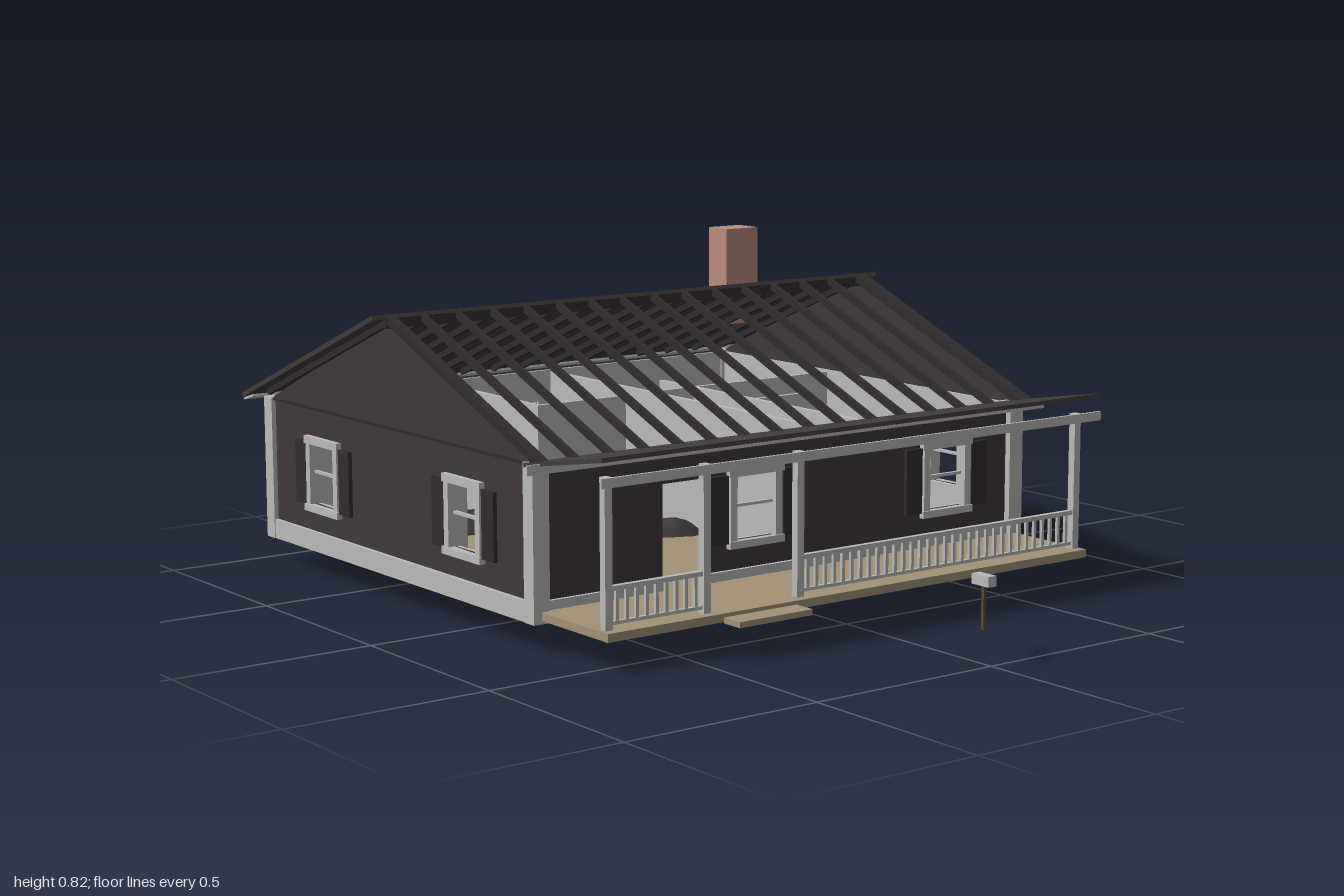
import * as THREE from 'three';

const mat = (name, color, extra = {}) => Object.assign(new THREE.MeshStandardMaterial({ color, ...extra }), { name });

export function createModel() {
  const M = {
    siding: mat('dark siding', 0x403939),
    roof: mat('roof', 0x433c3c),
    timber: mat('dark timber', 0x322d2d),
    trim: mat('pale trim', 0xbbbbb9),
    deck: mat('tan wood', 0xa39276),
    brick: mat('brick', 0xb98d7c),
    rock: mat('rubble', 0x383434, { flatShading: true }),
    post: mat('brown post', 0x5a4636),
  };
  const house = new THREE.Group();
  house.name = 'house';

  // Box given by its min and max corners
  const box = (name, m, x0, x1, y0, y1, z0, z1, parent = house) => {
    const b = new THREE.Mesh(new THREE.BoxGeometry(x1 - x0, y1 - y0, z1 - z0), m);
    b.position.set((x0 + x1) / 2, (y0 + y1) / 2, (z0 + z1) / 2);
    b.name = name;
    parent.add(b);
  };
  // Sloping board running between two (y, z) points
  const slope = (name, m, x0, x1, [ya, za], [yb, zb], t) => {
    const b = new THREE.Mesh(new THREE.BoxGeometry(x1 - x0, t, Math.hypot(yb - ya, zb - za)), m);
    b.position.set((x0 + x1) / 2, (ya + yb) / 2, (za + zb) / 2);
    b.rotation.x = -Math.atan2(yb - ya, zb - za);
    b.name = name;
    house.add(b);
  };

  // Wall sheet with rectangular openings
  const sheet = (name, m, pts, holes, z, depth, parent) => {
    const s = new THREE.Shape(pts.map(p => new THREE.Vector2(...p)));
    for (const [u0, u1, v0, v1] of holes) {
      s.holes.push(new THREE.Path([[u0, v0], [u0, v1], [u1, v1], [u1, v0]].map(p => new THREE.Vector2(...p))));
    }
    const mesh = new THREE.Mesh(new THREE.ExtrudeGeometry(s, { depth, bevelEnabled: false }), m);
    mesh.position.z = z;
    mesh.name = name;
    parent.add(mesh);
  };

  // Sash window: casing, sill, middle rail and a pair of shutters
  const windowTrim = (u, parent) => {
    const g = new THREE.Group();
    g.name = 'window';
    g.position.x = u;
    parent.add(g);
    for (const s of [-1, 1]) {
      box('casing', M.trim, s * 0.068 - 0.01, s * 0.068 + 0.01, 0.2, 0.36, -0.02, 0.012, g);
      box('shutter', M.timber, s * 0.109 - 0.026, s * 0.109 + 0.026, 0.195, 0.36, 0, 0.01, g);
    }
    box('head', M.trim, -0.083, 0.083, 0.355, 0.375, -0.02, 0.014, g);
    box('sill', M.trim, -0.083, 0.083, 0.182, 0.2, -0.02, 0.016, g);
    box('meetingRail', M.trim, -0.06, 0.06, 0.279, 0.286, -0.012, -0.002, g);
  };

  // Wall facing local +z, with plaster inside and trim outside
  const wall = (name, half, x, z, rot, windows, { doors = [], cased = false, gable = false } = {}) => {
    const g = new THREE.Group();
    g.name = name;
    g.position.set(x, 0, z);
    g.rotation.y = rot;
    house.add(g);
    const holes = windows.map(u => [u - 0.06, u + 0.06, 0.2, 0.355]).concat(doors.map(([a, b]) => [a, b, 0.1, 0.36]));
    const rect = [[-half, 0.08], [half, 0.08], [half, 0.445], [-half, 0.445]];
    const outer = gable ? [...rect.slice(0, 3), [0, 0.71], rect[3]] : rect;
    sheet('siding', M.siding, outer, holes, -0.01, 0.01, g);
    sheet('plaster', M.trim, rect, holes, -0.02, 0.009, g);
    windows.forEach(u => windowTrim(u, g));
    // Base board broken by doors
    const cuts = [-half, ...doors.flat(), half];
    for (let i = 0; i < cuts.length; i += 2) box('baseBoard', M.trim, cuts[i], cuts[i + 1], 0.08, 0.13, 0, 0.01, g);
    if (cased) for (const [a, b] of doors) {
      box('doorJamb', M.trim, a - 0.01, a, 0.1, 0.365, -0.02, 0.012, g);
      box('doorJamb', M.trim, b, b + 0.01, 0.1, 0.365, -0.02, 0.012, g);
      box('doorHead', M.trim, a - 0.01, b + 0.01, 0.36, 0.375, -0.02, 0.012, g);
    }
    return g;
  };
  const mid = -0.325;
  wall('frontWall', 0.735, 0, 0.285, 0, [-0.11, 0.5], { doors: [[-0.38, -0.25]] });
  wall('backWall', 0.735, 0, -0.935, Math.PI, [0.35], { doors: [[-0.075, 0.035]], cased: true });
  const right = wall('rightWall', 0.61, 0.74, mid, Math.PI / 2, [-0.37, 0.375], { gable: true });
  box('ventPanel', M.trim, -0.04, 0.035, 0.272, 0.345, 0, 0.008, right);
  wall('leftWall', 0.61, -0.74, mid, -Math.PI / 2, [-0.335, 0.325], { gable: true });
  for (const s of [-1, 1]) {
    box('gableBand', M.timber, s * 0.742 - 0.005, s * 0.742 + 0.005, 0.443, 0.449, -0.93, 0.28);
    for (const z of [-0.932, 0.282]) box('cornerBoard', M.trim, s * 0.73 - 0.022, s * 0.73 + 0.022, 0.08, 0.45, z - 0.02, z + 0.02);
  }

  // Pale slab with a wooden floor on its left half, and inner walls
  box('slab', M.trim, -0.735, 0.735, 0.078, 0.092, -0.93, 0.28);
  box('woodFloor', M.deck, -0.72, 0.12, 0.092, 0.096, -0.915, 0.265);
  for (const [x0, x1, z0, z1] of [
    [0.115, 0.13, -0.915, 0.265], [0.258, 0.273, -0.6, 0.265],
    [0.273, 0.45, -0.2, -0.187], [0.13, 0.72, -0.46, -0.447],
    [-0.24, 0.03, -0.45, -0.437], [-0.72, -0.48, -0.42, -0.407], [-0.245, -0.232, -0.915, -0.437],
  ]) box('innerWall', M.trim, x0, x1, 0.09, 0.44, z0, z1);

  // Rear roof with pale soffit, ridge and bare front rafters
  slope('backRoof', M.roof, -0.79, 0.79, [0.718, -0.325], [0.45, -0.998], 0.012);
  slope('backSoffit', M.trim, -0.788, 0.788, [0.455, -0.945], [0.441, -0.992], 0.006);
  box('ridgeBoard', M.timber, -0.755, 0.755, 0.69, 0.715, -0.335, -0.32);
  for (let i = 0; i < 16; i++) {
    const x = -0.748 + i * 0.0978;
    slope('frontRafter', M.timber, x - 0.006, x + 0.006, [0.712, -0.325], [0.45, 0.335], 0.018);
    slope('backRafter', M.timber, x - 0.006, x + 0.006, [0.7, -0.335], [0.463, -0.93], 0.016);
  }
  for (const s of [-1, 1]) slope('endRafter', M.timber, s * 0.74 - 0.012, s * 0.74 + 0.012, [0.712, -0.325], [0.45, 0.335], 0.018);
  box('frontFascia', M.trim, -0.79, 0.79, 0.432, 0.456, 0.334, 0.338);
  box('chimney', M.brick, 0.53, 0.638, 0.565, 0.83, -0.737, -0.655);

  // Porch: tilted roof, deck, step, posts and railings
  slope('porchRoof', M.roof, -0.755, 0.755, [0.444, 0.27], [0.498, 0.578], 0.01);
  box('porchBeam', M.trim, -0.755, 0.755, 0.435, 0.457, 0.568, 0.576);
  box('porchDeck', M.deck, -0.73, 0.73, 0.088, 0.108, 0.285, 0.56);
  box('porchStep', M.deck, -0.41, -0.2, 0.085, 0.099, 0.56, 0.618);
  for (const x of [-0.71, -0.44, -0.17, 0.715]) box('porchPost', M.trim, x - 0.01, x + 0.01, 0.105, 0.45, 0.517, 0.537);
  for (const [a, b] of [[-0.71, -0.44], [-0.17, 0.715]]) {
    box('handRail', M.trim, a, b, 0.195, 0.206, 0.52, 0.534);
    box('footRail', M.trim, a, b, 0.118, 0.126, 0.522, 0.532);
    const n = Math.round((b - a) / 0.027);
    for (let i = 1; i < n; i++) {
      const x = a + (b - a) * i / n;
      box('baluster', M.trim, x - 0.004, x + 0.004, 0.12, 0.197, 0.523, 0.531);
    }
  }

  // Letter box on its post
  box('letterBox', M.trim, -0.012, 0.012, 0.192, 0.216, 0.945, 1);
  box('letterBoxPost', M.post, -0.004, 0.004, 0.09, 0.192, 0.969, 0.977);

  // Rubble boulders pushed through the floor: x, z, radius, height radius
  const rubble = [
    [-0.4, 0.07, 0.11, 0.066], [-0.36, -0.04, 0.09, 0.06], [-0.42, -0.14, 0.065, 0.05], [-0.2, -0.07, 0.06, 0.05],
    [0.08, -0.29, 0.1, 0.055], [0.2, -0.23, 0.12, 0.068], [0.34, -0.2, 0.11, 0.062], [0.37, -0.31, 0.11, 0.058],
    [0.45, -0.01, 0.1, 0.06], [0.61, -0.06, 0.11, 0.066], [0.54, 0.15, 0.12, 0.07], [0.64, 0.06, 0.1, 0.06],
    [0.5, -0.55, 0.11, 0.062], [0.6, -0.66, 0.12, 0.066], [0.48, -0.72, 0.1, 0.056],
    [-0.2, -0.6, 0.11, 0.066], [-0.32, -0.66, 0.11, 0.062], [-0.24, -0.75, 0.09, 0.052],
  ];
  const rocks = new THREE.Group();
  rocks.name = 'rubble';
  house.add(rocks);
  rubble.forEach(([x, z, r, h], k) => {
    const geo = new THREE.IcosahedronGeometry(1, 1);
    const p = geo.attributes.position;
    const v = new THREE.Vector3();
    for (let i = 0; i < p.count; i++) {
      v.fromBufferAttribute(p, i);
      v.multiplyScalar(0.92 + 0.22 * Math.sin(v.x * 5.3 + k * 1.7) * Math.cos(v.z * 4.1 + v.y * 3.7 + k * 2.3));
      p.setXYZ(i, v.x * r, v.y * h, v.z * r);
    }
    geo.computeVertexNormals();
    const rock = new THREE.Mesh(geo, M.rock);
    rock.position.set(x, 0.077, z);
    rock.name = 'boulder';
    rocks.add(rock);
  });
  return house;
}
